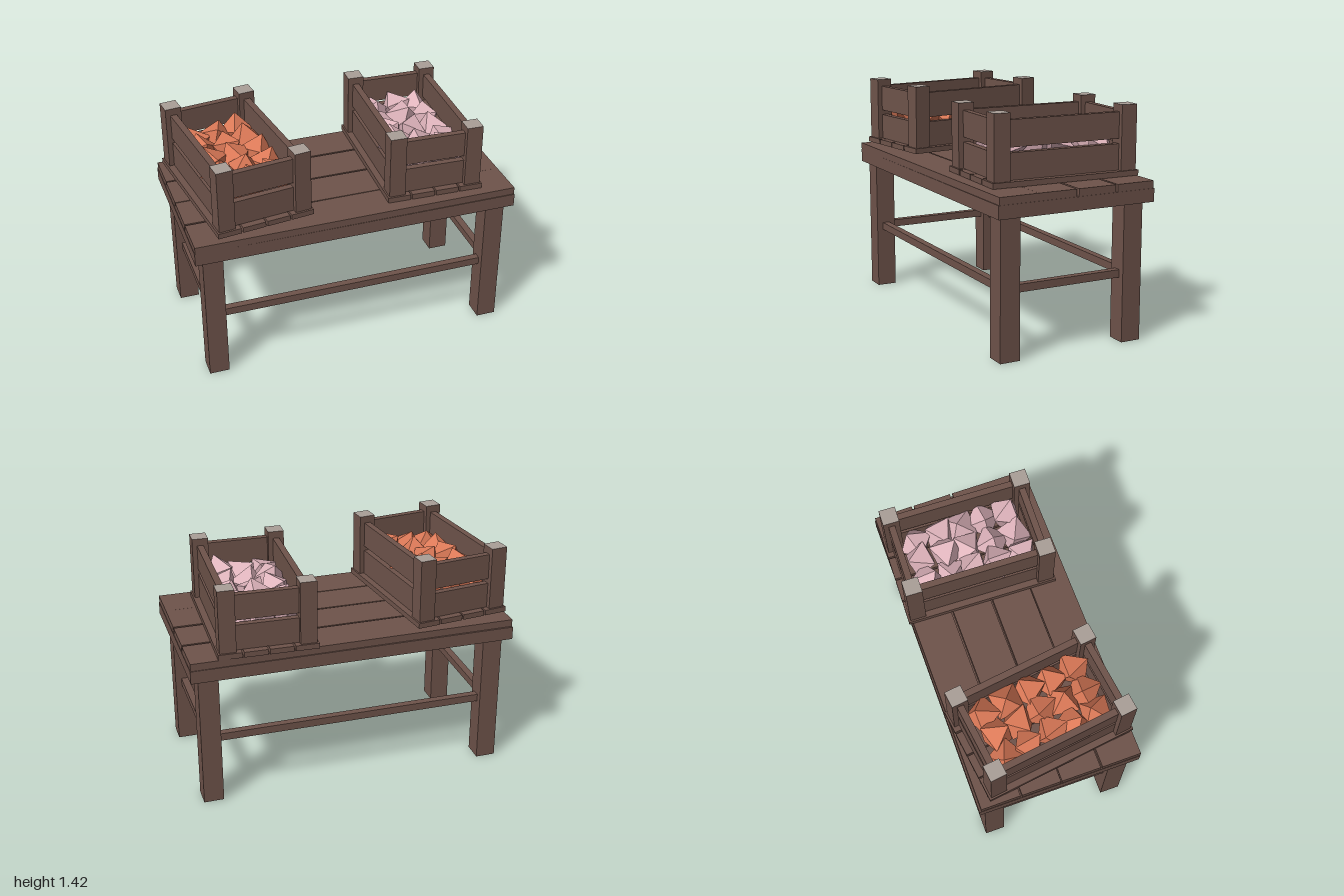
import * as THREE from 'three';

const material = (name, color) => {
  const m = new THREE.MeshStandardMaterial({ color, side: THREE.DoubleSide, flatShading: true });
  m.name = name;
  return m;
};

// Small seeded generator for the loose pieces
function seeded(seed) {
  return () => {
    seed = (seed * 16807) % 2147483647;
    return seed / 2147483647;
  };
}

export function createModel() {
  const wood = material('brown wood', 0x6f544b);
  const endGrain = material('pale end grain', 0xaa9f98);
  const orange = material('orange produce', 0xdd7a58);
  const pink = material('pink produce', 0xe0b5bd);

  // Box given by its size, centre x and z, and bottom y
  function box(parent, name, [w, h, d], [x, y, z], mat = wood) {
    const mesh = new THREE.Mesh(new THREE.BoxGeometry(w, h, d), mat);
    mesh.name = name;
    mesh.position.set(x, y + h / 2, z);
    parent.add(mesh);
    return mesh;
  }

  function createTable() {
    const table = new THREE.Group();
    table.name = 'table';
    box(table, 'tableSlab', [2, 0.08, 1.012], [0, 0.84, 0.004]);

    // Four slightly uneven top planks with narrow grooves
    const tilts = [0.004, 0.002, -0.003, 0.003];
    [-0.372, -0.117, 0.137, 0.386].forEach((z, i) => {
      box(table, 'tablePlank', [1.995, 0.045, 0.243], [0, 0.92, z]).rotation.y = tilts[i];
    });

    // Legs, open at the foot
    for (const x of [-0.89, 0.89]) {
      for (const z of [-0.393, 0.412]) {
        const leg = box(table, 'tableLeg', [0.122, 0.84, 0.125], [x, 0, z], Array(6).fill(wood));
        leg.geometry.groups = leg.geometry.groups.filter((g) => g.materialIndex !== 3);
      }
      box(table, 'sideStretcher', [0.045, 0.047, 0.69], [x, 0.388, 0.01]);
    }
    for (const z of [-0.393, 0.412]) {
      box(table, 'longStretcher', [1.67, 0.047, 0.045], [0, 0.388, z]);
    }
    return table;
  }

  function createCrate(name, produce, seed) {
    const crate = new THREE.Group();
    crate.name = name;
    const px = 0.239, pz = 0.41, post = 0.1;

    // Bottom planks
    for (let i = 0; i < 4; i++) {
      box(crate, 'crateBottomPlank', [0.142, 0.033, 0.945], [(i - 1.5) * 0.152, 0, 0]);
    }

    // Corner posts with pale tops
    const postMaterials = [wood, wood, endGrain, wood, wood, wood];
    for (const x of [-px, px]) {
      for (const z of [-pz, pz]) {
        box(crate, 'cratePost', [post, 0.388, post], [x, 0.033, z], postMaterials);
      }
    }

    // Two boards on every side
    for (const y of [0.033, 0.22]) {
      for (const s of [-1, 1]) {
        box(crate, 'crateSideBoard', [0.04, 0.157, 2 * pz - post], [s * px, y, 0]);
        box(crate, 'crateEndBoard', [2 * px - post, 0.157, 0.04], [0, y, s * pz]);
      }
    }

    // Heap of faceted pieces
    const rand = seeded(seed);
    const jitter = (a) => (rand() - 0.5) * a;
    const pieceGeometry = new THREE.OctahedronGeometry(0.115);
    for (let col = -1; col <= 1; col++) {
      for (let row = -2; row <= 2; row++) {
        const piece = new THREE.Mesh(pieceGeometry, produce);
        piece.name = 'producePiece';
        piece.position.set(col * 0.138 + jitter(0.02), 0.205 + jitter(0.05), row * 0.145 + jitter(0.02));
        piece.rotation.set(rand() * 6.28, rand() * 6.28, rand() * 6.28);
        crate.add(piece);
      }
    }
    return crate;
  }

  const model = new THREE.Group();
  model.name = 'marketTable';
  model.add(createTable());

  const orangeCrate = createCrate('orangeCrate', orange, 1234);
  orangeCrate.position.set(-0.62, 0.996, 0.004);
  orangeCrate.rotation.y = 0.129;

  const pinkCrate = createCrate('pinkCrate', pink, 98765);
  pinkCrate.position.set(0.521, 0.967, -0.038);
  pinkCrate.rotation.y = -0.031;

  model.add(orangeCrate, pinkCrate);
  return model;
}
